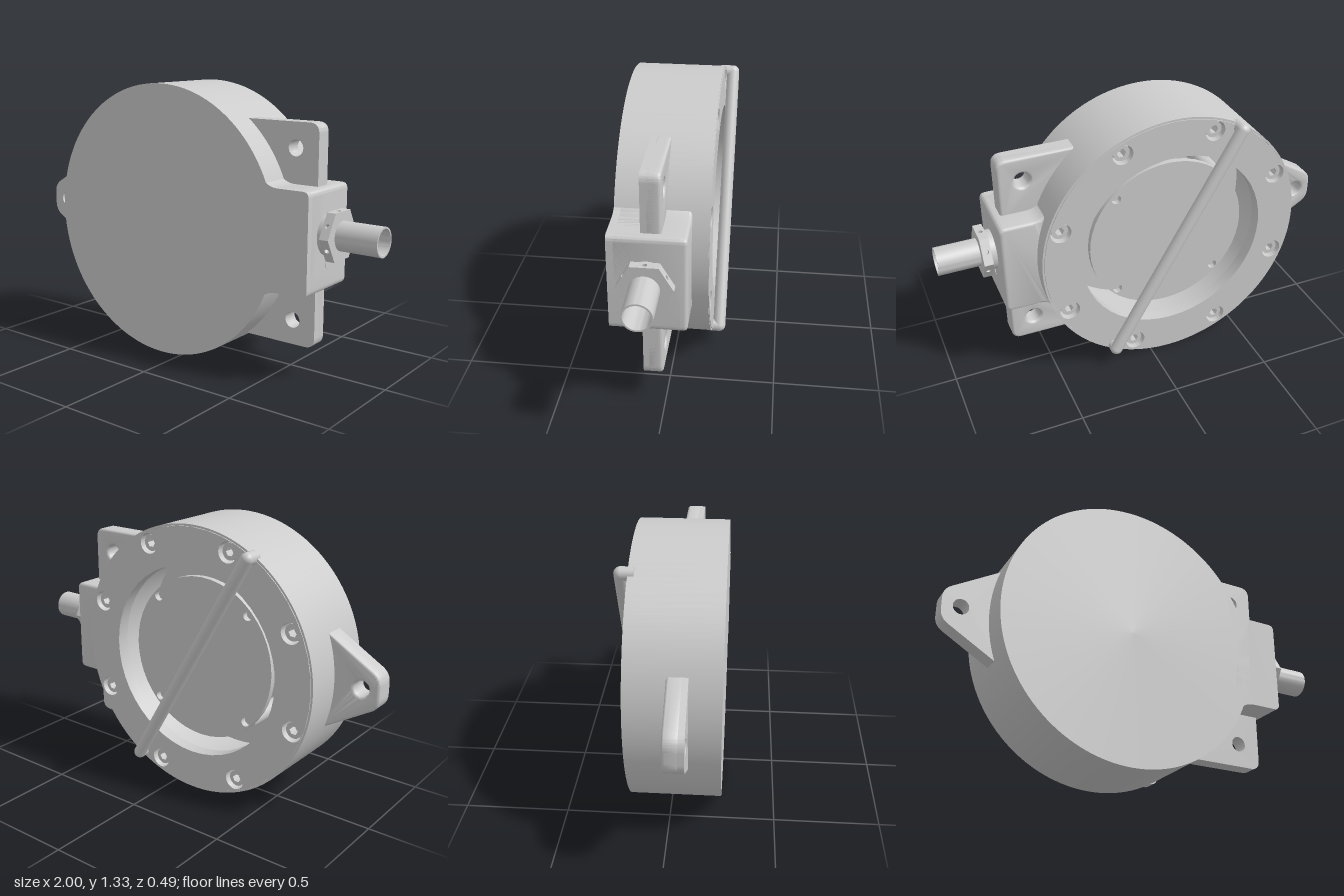
import * as THREE from 'three';
import { toCreasedNormals } from 'three/addons/utils/BufferGeometryUtils.js';

const CX = -0.11, CY = 0.668; // axis of the round housing
const TAU = Math.PI * 2;
const material = new THREE.MeshStandardMaterial({ color: 0xcccccc });

function add(parent, name, geometry, x = 0, y = 0, z = 0) {
  const mesh = new THREE.Mesh(geometry, material);
  mesh.name = name;
  mesh.position.set(x, y, z);
  parent.add(mesh);
  return mesh;
}

function circle(x, y, r, Type = THREE.Path) {
  return new Type().absarc(x, y, r, 0, TAU, false);
}

// Closed outline from [x, y, cornerRadius] points
function roundedShape(points) {
  const shape = new THREE.Shape();
  points.forEach(([x, y, r = 0], i) => {
    const p = new THREE.Vector2(x, y);
    const toward = ([a, b]) => new THREE.Vector2(a, b).sub(p).normalize().multiplyScalar(r).add(p);
    const start = toward(points.at(i - 1)), end = toward(points[(i + 1) % points.length]);
    if (i === 0) shape.moveTo(start.x, start.y);
    else shape.lineTo(start.x, start.y);
    if (r) shape.quadraticCurveTo(x, y, end.x, end.y);
  });
  shape.closePath();
  return shape;
}

function extrude(shape, z0, z1, bevel = 0) {
  const geometry = new THREE.ExtrudeGeometry(shape, {
    depth: z1 - z0 - 2 * bevel, curveSegments: 24, bevelEnabled: bevel > 0,
    bevelThickness: bevel, bevelSize: bevel, bevelOffset: -bevel, bevelSegments: 4,
  });
  geometry.translate(0, 0, z0 + bevel);
  return toCreasedNormals(geometry, 0.6);
}

// Casting rounded along its back edge and sharp along its front edge
function addCasting(parent, name, shape, z0, z1, bevel) {
  const group = new THREE.Group();
  group.name = name;
  add(group, name + 'Back', extrude(shape, z0, z1 - bevel, bevel));
  add(group, name + 'Front', extrude(shape, z0 + 2 * bevel, z1));
  parent.add(group);
}

function lathe(points, segments) {
  const profile = points.map(([r, h]) => new THREE.Vector2(r, h));
  return toCreasedNormals(new THREE.LatheGeometry(profile, segments), 0.6);
}

export function createModel() {
  const model = new THREE.Group();
  model.name = 'roundHousing';

  // Drum with a closed front and a cavity open to the back
  add(model, 'drum', lathe([
    [0, 0.2], [0.555, 0.2], [0.555, -0.12], [0.657, -0.12], [0.657, -0.181],
    [0.667, -0.181], [0.667, 0.244], [0, 0.244],
  ], 128).rotateX(Math.PI / 2), CX, CY);

  // Lid ring with counterbored screws
  const lid = circle(0, 0, 0.657, THREE.Shape);
  lid.holes.push(circle(0, 0, 0.472));
  const head = circle(0, 0, 0.04, THREE.Shape);
  const socket = new THREE.Path();
  for (let i = 0; i < 6; i++) {
    const a = i * TAU / 6, x = 0.022 * Math.cos(a), y = 0.022 * Math.sin(a);
    if (i) socket.lineTo(x, y);
    else socket.moveTo(x, y);
  }
  socket.closePath();
  head.holes.push(socket);
  const headGeometry = extrude(head, -0.165, -0.12);
  for (let i = 0; i < 8; i++) {
    const a = THREE.MathUtils.degToRad(64.5 + 45 * i);
    const x = 0.602 * Math.cos(a), y = 0.602 * Math.sin(a);
    lid.holes.push(circle(x, y, 0.05));
    add(model, 'lidScrew', headGeometry, CX + x, CY + y);
  }
  const lidGeometry = extrude(lid, -0.184, -0.12);
  add(model, 'lidRing', lidGeometry, CX, CY);

  // Inner plate standing on four posts
  const plate = circle(0, 0, 0.405, THREE.Shape);
  for (const sx of [-1, 1]) for (const sy of [-1, 1]) {
    plate.holes.push(circle(sx * 0.265, sy * 0.265, 0.023));
    const post = new THREE.CylinderGeometry(0.04, 0.04, 0.285, 24).rotateX(Math.PI / 2);
    add(model, 'platePost', post, CX + sx * 0.265, CY + sy * 0.265, 0.0625);
  }
  add(model, 'innerPlate', extrude(plate, -0.11, -0.08), CX, CY);

  // Diagonal handle bar with short feet
  const handle = new THREE.Group();
  handle.name = 'handle';
  handle.position.set(-0.115, 0.67, -0.214);
  handle.rotation.z = Math.PI / 6;
  add(handle, 'handleBar', new THREE.CapsuleGeometry(0.031, 1.294, 10, 28));
  for (const s of [-1, 1]) {
    const foot = new THREE.CylinderGeometry(0.031, 0.031, 0.06, 28).rotateX(Math.PI / 2);
    add(handle, 'handleFoot', foot, 0, s * 0.647, 0.03);
  }
  model.add(handle);

  // Tapered lug on the right side
  const taper = roundedShape([
    [-0.7, CY + 0.25], [-1, CY + 0.073, 0.045], [-1, CY - 0.073, 0.045], [-0.7, CY - 0.25],
  ]);
  taper.holes.push(circle(-0.91, CY + 0.003, 0.038));
  addCasting(model, 'taperedLug', taper, 0.005, 0.1, 0.014);

  // Two square lugs on the left side
  for (const s of [-1, 1]) {
    const lug = roundedShape([
      [0.28, CY + s * 0.517], [0.685, CY + s * 0.517, 0.05],
      [0.685, CY + s * 0.2], [0.46, CY + s * 0.18],
    ]);
    lug.holes.push(circle(0.567, CY + s * 0.4, 0.038));
    addCasting(model, s > 0 ? 'upperLug' : 'lowerLug', lug, 0.01, 0.1, 0.014);
  }

  // Cable entry box flowing out of the drum
  const box = roundedShape([
    [0.44, CY + 0.365], [0.5, CY + 0.237, 0.07], [0.725, CY + 0.237, 0.03],
    [0.725, CY - 0.237, 0.03], [0.5, CY - 0.237, 0.07], [0.44, CY - 0.365], [0.485, CY],
  ]);
  addCasting(model, 'entryBox', box, -0.105, 0.244, 0.016);

  // Cable gland, built along its own y axis and turned to point sideways
  const gland = new THREE.Group();
  gland.name = 'cableGland';
  gland.position.set(0.725, 0.694, 0.07);
  gland.rotation.z = -Math.PI / 2;
  model.add(gland);
  add(gland, 'glandCollar', new THREE.CylinderGeometry(0.097, 0.097, 0.04, 48), 0, 0.015);
  const nutCore = new THREE.CylinderGeometry(0.104, 0.104, 0.044, 6).toNonIndexed();
  nutCore.computeVertexNormals();
  add(gland, 'nutCore', nutCore, 0, 0.05);
  const half = 0.11 * Math.tan(Math.PI / 6);
  const side = roundedShape([[-half, -0.022], [half, -0.022], [half, 0.022], [-half, 0.022]]);
  side.holes.push(circle(0, 0, 0.011));
  const sideGeometry = extrude(side, 0.09, 0.11);
  for (let i = 0; i < 6; i++) {
    add(gland, 'nutSide', sideGeometry, 0, 0.05).rotation.y = (i + 0.5) * TAU / 6;
  }
  add(gland, 'glandTube', lathe([
    [0.068, 0.02], [0.068, 0.275], [0.06, 0.275], [0.06, 0.03], [0, 0.03],
  ], 48));

  // Small plug under the gland
  const plug = new THREE.CylinderGeometry(0.02, 0.02, 0.01, 24).rotateZ(Math.PI / 2);
  add(model, 'boxPlug', plug, 0.722, 0.555, 0.07);

  return model;
}
